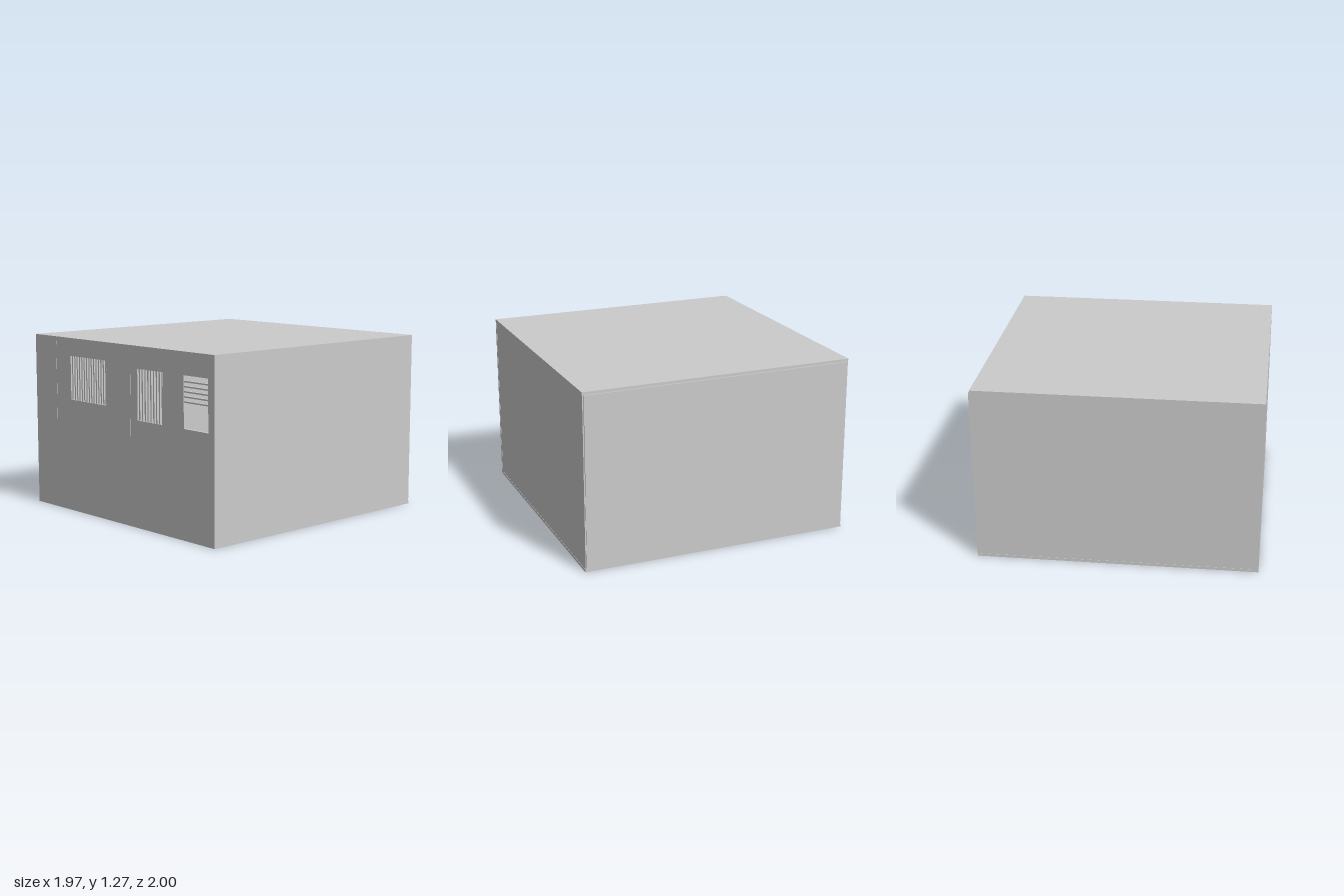
import * as THREE from 'three';

const material = new THREE.MeshStandardMaterial({ color: 0xcccccc, flatShading: true });
const H = 1.275, W = 0.985, T = 0.02;

// Box given by its min and max corners
function box(parent, name, [x0, y0, z0], [x1, y1, z1]) {
  const mesh = new THREE.Mesh(new THREE.BoxGeometry(x1 - x0, y1 - y0, z1 - z0), material);
  mesh.position.set((x0 + x1) / 2, (y0 + y1) / 2, (z0 + z1) / 2);
  mesh.name = name;
  parent.add(mesh);
  return mesh;
}

function rectangle(target, x0, y0, x1, y1) {
  target.moveTo(x0, y0);
  target.lineTo(x1, y0);
  target.lineTo(x1, y1);
  target.lineTo(x0, y1);
  target.closePath();
  return target;
}

const windows = [
  { name: 'wideWindow', x0: -0.555, x1: -0.138, y0: 0.825, y1: 1.145, bars: 15 },
  { name: 'middleWindow', x0: 0.205, x1: 0.475, y0: 0.76, y1: 1.118, bars: 9 },
  { name: 'slattedWindow', x0: 0.685, x1: 0.925, y0: 0.76, y1: 1.118, slats: 5 },
];

export function createModel() {
  const room = new THREE.Group();
  room.name = 'room';

  // Floor, roof and side walls of the hollow shell
  box(room, 'floor', [-W, 0, -0.99], [W, T, 0.998]);
  box(room, 'roof', [-W, H - T, -0.99], [W, H, 0.998]);
  for (const s of [-1, 1]) {
    const a = s * (W - T), b = s * (W - 0.002);
    box(room, s > 0 ? 'leftWall' : 'rightWall',
      [Math.min(a, b), T, -0.99], [Math.max(a, b), H - T, 0.98]);
  }

  // Back wall: the upper panel stands slightly proud of the lower one
  box(room, 'backWallLower', [-0.975, T, -0.996], [0.975, 0.635, -0.975]);
  box(room, 'backWallUpper', [-0.975, 0.635, -1], [0.975, H - T, -0.975]);

  // Front wall with window openings
  const outline = rectangle(new THREE.Shape(), -W, 0, W, H);
  for (const w of windows) outline.holes.push(rectangle(new THREE.Path(), w.x0, w.y0, w.x1, w.y1));
  const wallGeometry = new THREE.ExtrudeGeometry(outline, { depth: T, bevelEnabled: false });
  wallGeometry.translate(0, 0, 0.998 - T);
  const frontWall = new THREE.Mesh(wallGeometry, material);
  frontWall.name = 'frontWall';
  room.add(frontWall);

  // Thin vertical seams on the upper half of the front
  for (const x of [-0.73, 0.125]) box(room, 'wallSeam', [x - 0.004, 0.64, 0.99], [x + 0.004, 1.245, 1]);

  // Upright bars and horizontal slats in the windows
  for (const w of windows) {
    const grille = new THREE.Group();
    grille.name = w.name;
    room.add(grille);
    for (let i = 0; i < (w.bars ?? 0); i++) {
      const x = w.x0 + (w.x1 - w.x0) * (i + 0.5) / w.bars;
      box(grille, 'bar', [x - 0.006, w.y0, 0.98], [x + 0.006, w.y1, 0.992]);
    }
    for (let i = 0; i < (w.slats ?? 0); i++) {
      const y = 0.94 + i * 0.034;
      box(grille, 'slat', [w.x0, y - 0.005, 0.98], [w.x1, y + 0.005, 0.994]);
    }
  }
  return room;
}
